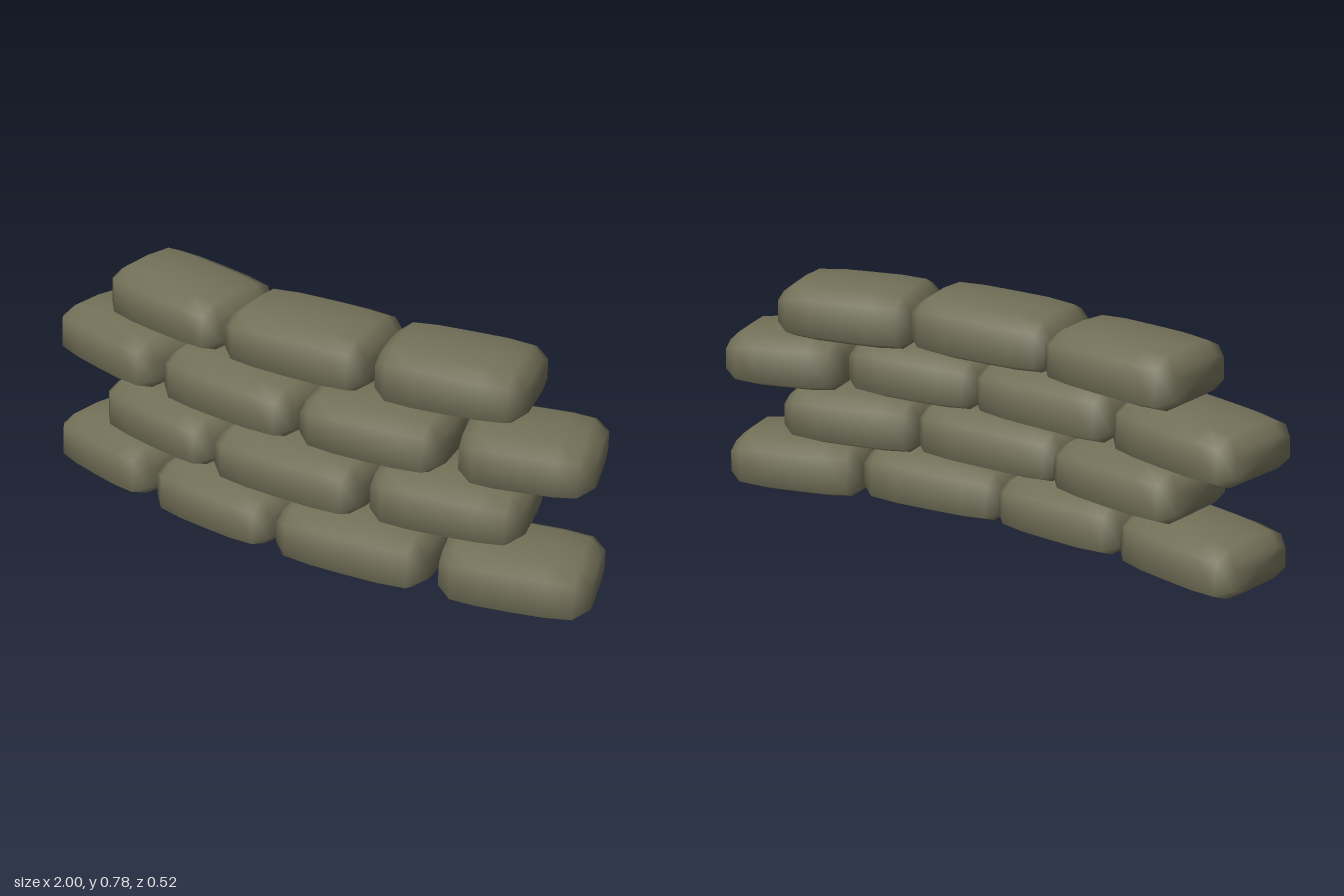
import * as THREE from 'three';

const burlap = new THREE.MeshStandardMaterial({ color: 0x737058 });
burlap.name = 'olive burlap';

// Chamfered cross-section of a filled bag as [z, y], counter-clockwise seen from +x,
// a little wider near the bottom
const SECTION = [
  [0.1, 0], [0.168, 0.034], [0.16, 0.155], [0.1, 0.188],
  [0, 0.195], [-0.1, 0.188], [-0.16, 0.155], [-0.168, 0.034], [-0.1, 0], [0, 0],
];
// Stations along the bag: [x as share of half length, inset of x, z scale, y scale]
const STATIONS = [
  [-1, 0, 0.74, 0.6], [-1, 0.045, 0.96, 0.94], [-0.45, 0, 1, 1], [0, 0, 1.01, 1],
  [0.45, 0, 1, 1], [1, 0.045, 0.96, 0.94], [1, 0, 0.74, 0.6],
];
const MID = 0.095;

// Lofts the section along x and closes both ends
function bagGeometry(halfLength, height, sag) {
  const n = SECTION.length;
  const pos = [];
  const index = [];
  for (const [share, inset, sz, sy] of STATIONS) {
    const x = share * halfLength - Math.sign(share) * inset;
    for (const [z, y] of SECTION) {
      const dip = y > MID ? sag * share : 0;
      pos.push(x, (MID + (y - MID) * sy + dip) * height / 0.195, z * sz);
    }
  }
  for (let s = 0; s < STATIONS.length - 1; s++) {
    for (let i = 0; i < n; i++) {
      const a = s * n + i;
      const b = s * n + (i + 1) % n;
      index.push(a, a + n, b, b, a + n, b + n);
    }
  }
  const last = (STATIONS.length - 1) * n;
  const c = pos.length / 3;
  const midY = MID * height / 0.195;
  pos.push(-halfLength - 0.003, midY, 0, halfLength + 0.003, midY, 0);
  for (let i = 0; i < n; i++) {
    const j = (i + 1) % n;
    index.push(c, i, j, c + 1, last + j, last + i);
  }
  const geometry = new THREE.BufferGeometry();
  geometry.setAttribute('position', new THREE.Float32BufferAttribute(pos, 3));
  geometry.setIndex(index);

  // Make sure the winding faces outwards
  const p = geometry.attributes.position;
  const v = [0, 1, 2].map((k) => new THREE.Vector3().fromBufferAttribute(p, index[index.length - 3 + k]));
  const normal = v[1].clone().sub(v[0]).cross(v[2].clone().sub(v[0]));
  if (normal.x < 0) {
    for (let k = 0; k < index.length; k += 3) [index[k + 1], index[k + 2]] = [index[k + 2], index[k + 1]];
    geometry.setIndex(index);
  }
  geometry.computeVertexNormals();
  return geometry;
}

// Each course, bottom to top; bags are [left x, right x, base y, height, centre z, yaw in degrees]
const COURSES = [
  [[-0.98, -0.485, 0.01, 0.185, 0, -14], [-0.5, -0.015, 0.008, 0.187, 0.085, -5],
    [-0.03, 0.5, 0.008, 0.192, 0.088, 5], [0.485, 1, 0, 0.195, 0, 14]],
  [[-0.76, -0.245, 0.2, 0.185, 0.012, -11], [-0.26, 0.27, 0.205, 0.189, 0.077, 0],
    [0.255, 0.775, 0.205, 0.19, 0.015, 11]],
  [[-1, -0.475, 0.392, 0.183, -0.05, -15], [-0.49, 0.04, 0.398, 0.188, 0.037, -5],
    [0.025, 0.515, 0.4, 0.185, 0.035, 5], [0.505, 0.965, 0.392, 0.185, -0.055, 15]],
  [[-0.77, -0.25, 0.586, 0.184, -0.055, -10], [-0.265, 0.24, 0.592, 0.188, -0.002, 1],
    [0.23, 0.735, 0.585, 0.19, -0.05, 10]],
];

export function createModel() {
  const wall = new THREE.Group();
  wall.name = 'sandbagWall';
  COURSES.forEach((bags, row) => {
    const course = new THREE.Group();
    course.name = `course${row + 1}`;
    bags.forEach(([x0, x1, y, height, z, degrees], i) => {
      const yaw = THREE.MathUtils.degToRad(degrees);
      // Length that fills the span once the bag is turned
      const half = ((x1 - x0) / 2 - 0.12 * Math.abs(Math.sin(yaw))) / Math.cos(yaw);
      const sag = 0.004 * ((row + i) % 2 ? -1 : 1);
      const bag = new THREE.Mesh(bagGeometry(half, height, sag), burlap);
      bag.name = `sandbag${row + 1}_${i + 1}`;
      bag.position.set((x0 + x1) / 2, y, z);
      bag.rotation.y = yaw;
      course.add(bag);
    });
    wall.add(course);
  });
  return wall;
}
